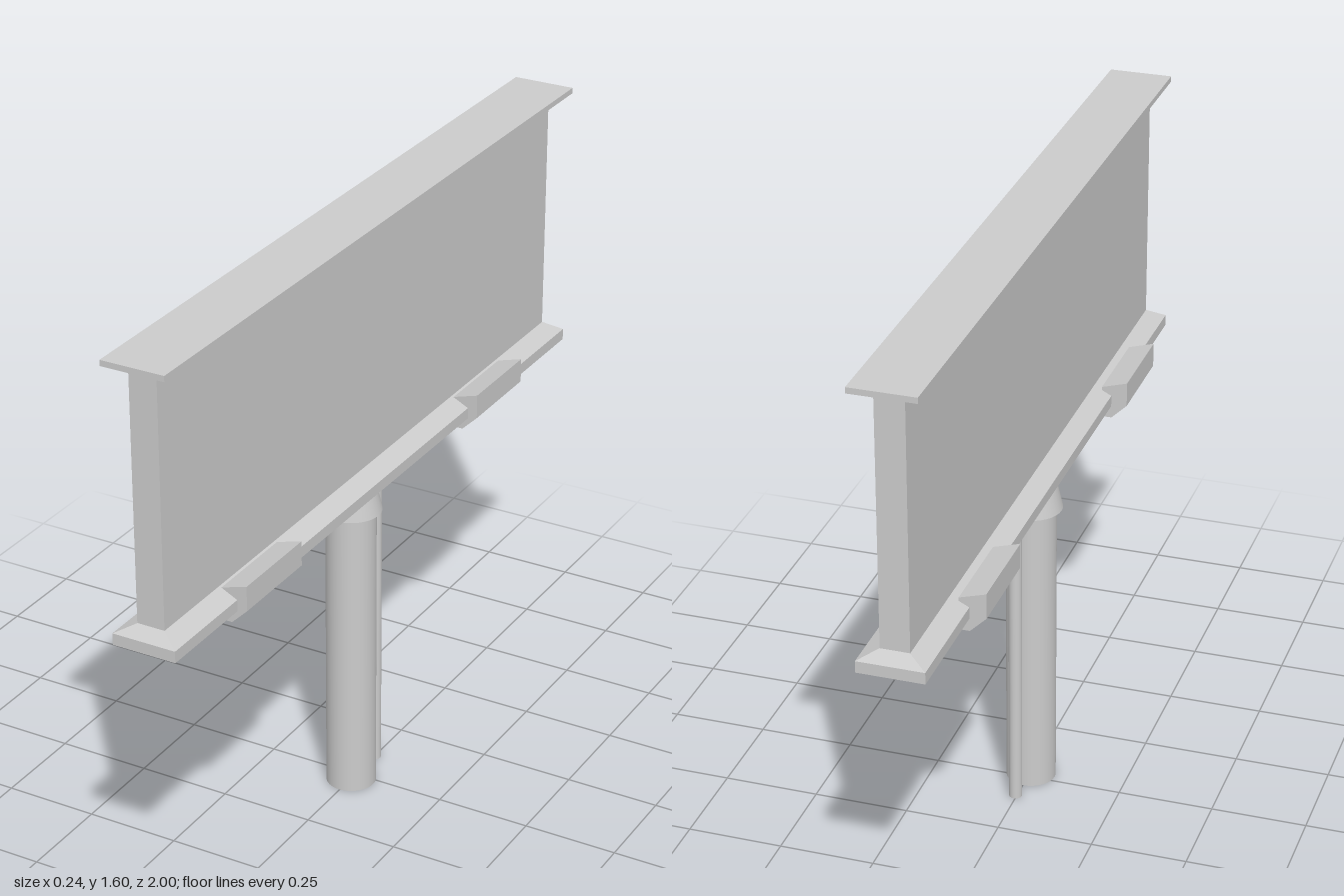
import * as THREE from 'three';

const material = new THREE.MeshStandardMaterial({ color: 0xcccccc });

export function createModel() {
  const group = new THREE.Group();

  const add = (name, geometry, x = 0, y = 0, z = 0) => {
    const mesh = new THREE.Mesh(geometry, material);
    mesh.name = name;
    mesh.position.set(x, y, z);
    group.add(mesh);
    return mesh;
  };

  // Box given by its limits
  const addBox = (name, x0, x1, y0, y1, z0, z1) =>
    add(name, new THREE.BoxGeometry(x1 - x0, y1 - y0, z1 - z0),
      (x0 + x1) / 2, (y0 + y1) / 2, (z0 + z1) / 2);

  // Cylinder standing between two heights
  const addPost = (name, rTop, rBottom, y0, y1, x, z, sides = 32) =>
    add(name, new THREE.CylinderGeometry(rTop, rBottom, y1 - y0, sides), x, (y0 + y1) / 2, z);

  // Display board and its roof plate
  addBox('boardPanel', -0.031, 0.042, 0.92, 1.59, -0.957, 0.957);
  addBox('roofPlate', -0.076, 0.09, 1.585, 1.6, -1, 1);

  // Platform: straight rim, with a bevel rising to the foot of the board
  addBox('platformRim', -0.078, 0.09, 0.878, 0.908, -0.99, 0.99);
  let bevel = new THREE.BoxGeometry(0.168, 0.024, 1.98);
  const p = bevel.attributes.position;
  for (let i = 0; i < p.count; i++) {
    if (p.getY(i) > 0) {
      p.setX(i, Math.sign(p.getX(i)) * 0.0365);
      p.setZ(i, Math.sign(p.getZ(i)) * 0.957);
    }
  }
  bevel = bevel.toNonIndexed();
  bevel.computeVertexNormals();
  add('platformBevel', bevel, 0.006, 0.92, 0);

  // Lamp housings hooked over both edges of the platform
  const profile = [
    [0.118, 0.95], [0.05, 0.93], [0.05, 0.875], [0.04, 0.875],
    [0.04, 0.845], [0.077, 0.845], [0.118, 0.885],
  ];
  for (const [side, label] of [[1, 'left'], [-1, 'right']]) {
    const shape = new THREE.Shape(profile.map(([x, y]) => new THREE.Vector2(side * x - 0.002, y)));
    const housing = new THREE.ExtrudeGeometry(shape, { depth: 0.252, bevelEnabled: false });
    add(label + 'FrontLamp', housing, 0, 0, 0.468);
    add(label + 'BackLamp', housing, 0, 0, -0.684);
  }

  // Main pole with tapered collar, and the thin conduit behind it
  addPost('pole', 0.065, 0.065, 0, 0.81, -0.002, 0.021);
  addPost('poleCollar', 0.062, 0.08, 0.8, 0.88, -0.003, 0.02);
  addPost('conduit', 0.017, 0.017, 0.003, 0.88, 0.002, -0.098, 16);

  return group;
}
